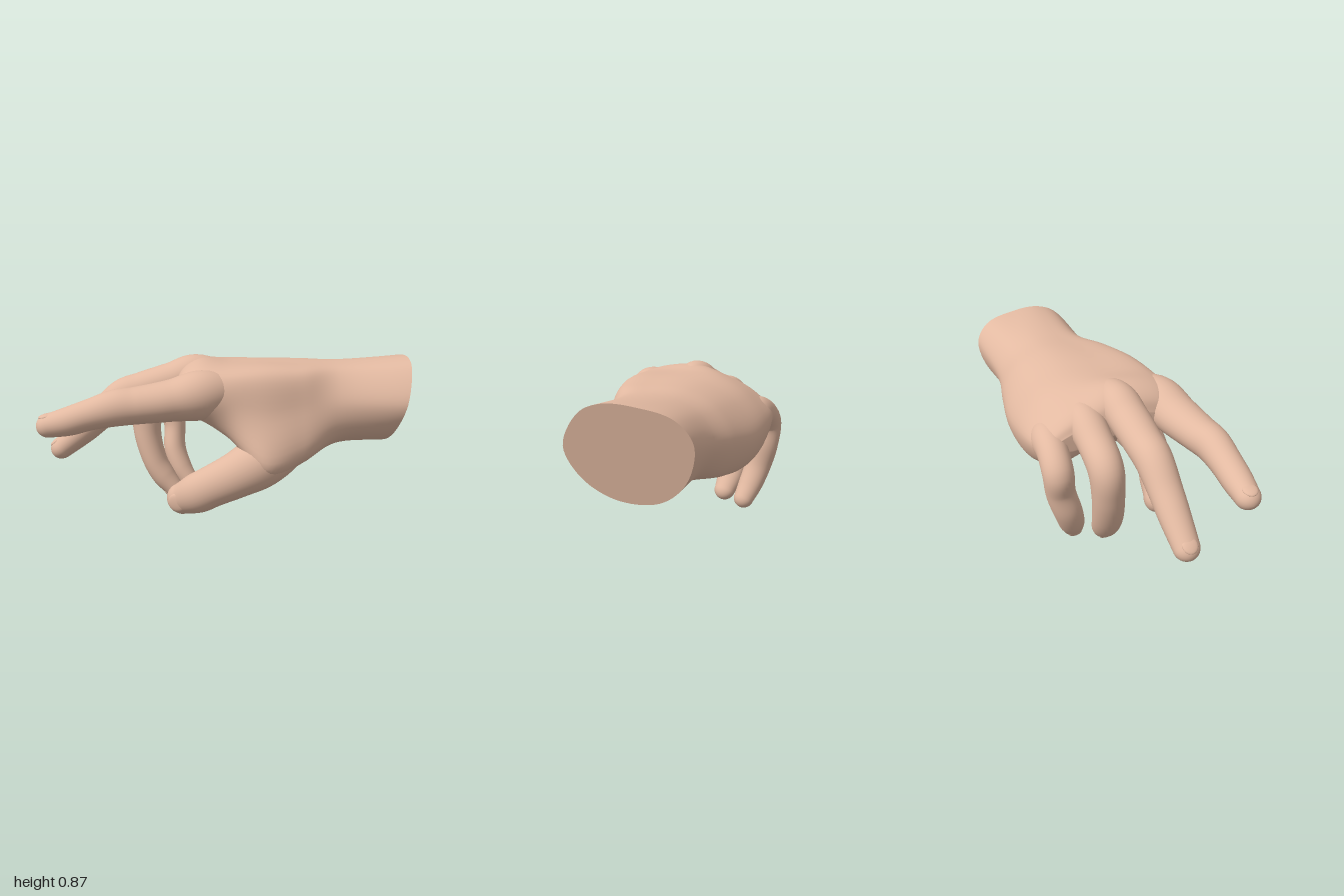
import * as THREE from 'three';

const V = (x, y, z) => new THREE.Vector3(x, y, z);

// Smooth skin over a list of rings, closed at the far end
function skin(rings) {
  const n = rings[0].length, pos = [], idx = [];
  rings.forEach((ring) => ring.forEach((p) => pos.push(p.x, p.y, p.z)));
  for (let i = 0; i < rings.length - 1; i++) {
    for (let j = 0; j < n; j++) {
      const a = i * n + j, b = i * n + ((j + 1) % n);
      idx.push(a, b, a + n, b, b + n, a + n);
    }
  }
  const last = (rings.length - 1) * n, c = centre(rings[rings.length - 1]);
  pos.push(c.x, c.y, c.z);
  for (let j = 0; j < n; j++) idx.push(last + n, last + j, last + ((j + 1) % n));
  return build(pos, idx);
}

// Flat face filling one ring, looking back along the loft
function face(ring) {
  const pos = [], idx = [], n = ring.length;
  [...ring, centre(ring)].forEach((p) => pos.push(p.x, p.y, p.z));
  for (let j = 0; j < n; j++) idx.push(n, (j + 1) % n, j);
  return build(pos, idx);
}

function build(pos, idx) {
  const g = new THREE.BufferGeometry();
  g.setAttribute('position', new THREE.Float32BufferAttribute(pos, 3));
  g.setIndex(idx);
  g.computeVertexNormals();
  return g;
}

function centre(ring) {
  return ring.reduce((s, p) => s.add(p), V(0, 0, 0)).divideScalar(ring.length);
}

// Palm cross-sections from wrist to knuckles: x, then (z, y) pairs going over
// the back of the hand and returning under the palm and the ball of the thumb
const WRIST = [.06, .785, -.06, .835, -.22, .83, -.39, .785, -.465, .68,
  -.41, .49, -.27, .375, -.06, .365, .1, .455, .17, .61];
const PALM = [
  [.6, [.08, .78, -.06, .812, -.22, .80, -.35, .73, -.425, .6,
    -.36, .45, -.19, .37, 0, .36, .16, .45, .185, .62]],
  [.4, [.19, .785, 0, .818, -.2, .81, -.36, .73, -.455, .57,
    -.38, .39, -.14, .36, .09, .285, .295, .355, .255, .6]],
  [.2, [.26, .795, .03, .828, -.2, .81, -.37, .72, -.48, .55,
    -.4, .37, -.12, .39, .21, .225, .42, .32, .335, .58]],
  [0, [.3, .79, .03, .833, -.2, .81, -.37, .72, -.475, .57,
    -.4, .39, -.14, .47, .12, .48, .31, .47, .355, .64]],
  [-.15, [.31, .785, .03, .85, -.17, .80, -.35, .71, -.455, .59,
    -.38, .44, -.12, .53, .1, .57, .28, .555, .385, .66]],
];

function palmRings() {
  const pairs = (list, xOf) => {
    const out = [];
    for (let i = 0; i < list.length; i += 2) out.push(V(xOf(list[i + 1], list[i]), list[i + 1], list[i]));
    return out;
  };
  // the wrist is cut on a slant
  const sections = [pairs(WRIST, (y, z) => .885 + .25 * (y - .37) + .07 * z)];
  PALM.forEach(([x, list]) => sections.push(pairs(list, () => x)));
  // webs between the fingers: the palm thins towards the front
  const front = sections[sections.length - 1], mid = centre(front);
  [[-.22, .88, .94], [-.262, .68, .86], [-.285, .35, .7]].forEach(([x, sy, sz]) => {
    sections.push(front.map((p) => V(x, mid.y + (p.y - mid.y) * sy, mid.z + (p.z - mid.z) * sz)));
  });
  const around = 72, along = 72;
  const loops = sections.map((s) => {
    const curve = new THREE.CatmullRomCurve3(s, true);
    return Array.from({ length: around }, (_, j) => curve.getPoint(j / around));
  });
  const lines = loops[0].map((_, j) => new THREE.CatmullRomCurve3(loops.map((l) => l[j])));
  return Array.from({ length: along + 1 }, (_, i) => lines.map((l) => l.getPoint(i / along)));
}

// Finger: joints are [x, y, z, half width, half thickness];
// side is the direction of the knuckle axis
function finger(name, joints, side, mat) {
  const path = new THREE.CatmullRomCurve3(joints.map((p) => V(p[0], p[1], p[2])));
  const sizes = new THREE.CatmullRomCurve3(joints.map((p) => V(p[3], p[4], 0)), false, 'catmullrom', .5);
  const steps = 56, around = 32, rings = [];
  const frame = (t) => {
    const T = path.getTangent(t);
    const S = side.clone().addScaledVector(T, -side.dot(T)).normalize();
    return { T, S, N: T.clone().cross(S) };
  };
  const ring = (c, { S, N }, w, h) => Array.from({ length: around }, (_, j) => {
    const a = (j / around) * Math.PI * 2;
    return c.clone().addScaledVector(S, w * Math.cos(a)).addScaledVector(N, h * Math.sin(a));
  });
  for (let i = 0; i <= steps; i++) {
    const t = i / steps, size = sizes.getPoint(t);
    rings.push(ring(path.getPoint(t), frame(t), size.x, size.y));
  }
  // rounded fingertip
  const end = frame(1), tip = path.getPoint(1), [w, h] = joints[joints.length - 1].slice(3);
  for (let k = 1; k <= 8; k++) {
    const a = (k / 8) * Math.PI * .48;
    const c = tip.clone().addScaledVector(end.T, w * Math.sin(a));
    rings.push(ring(c, end, w * Math.cos(a), h * Math.cos(a)));
  }
  const group = new THREE.Group();
  group.name = name;
  const flesh = new THREE.Mesh(skin(rings), mat);
  flesh.name = name + 'Flesh';
  // nail, a shallow dome sunk into the back of the tip
  const nail = new THREE.Mesh(new THREE.SphereGeometry(1, 20, 12), mat);
  nail.name = name + 'Nail';
  nail.scale.set(w * .6, h * .21, w * .65);
  nail.quaternion.setFromRotationMatrix(new THREE.Matrix4().makeBasis(end.S, end.N, end.T));
  nail.position.copy(tip).addScaledVector(end.N, h * .82);
  group.add(flesh, nail);
  return group;
}

export function createModel() {
  const hand = new THREE.Group();
  hand.name = 'hand';
  const mat = new THREE.MeshStandardMaterial({ color: 0xe2b9a1 });
  mat.name = 'skin';

  // palm and wrist
  const rings = palmRings();
  const palm = new THREE.Mesh(skin(rings), mat);
  palm.name = 'palm';
  const cut = new THREE.Mesh(face(rings[0]), mat);
  cut.name = 'wristEnd';
  hand.add(palm, cut);

  // fingers
  const z = V(0, 0, 1);
  hand.add(
    finger('indexFinger', [
      [.1, .70, .17, .05, .05], [-.12, .69, .275, .122, .127], [-.3, .665, .32, .12, .108],
      [-.47, .648, .36, .104, .096], [-.57, .64, .382, .094, .094], [-.7, .607, .392, .083, .08],
      [-.81, .573, .396, .078, .074], [-.91, .55, .394, .066, .062],
    ], z, mat),
    finger('middleFinger', [
      [.06, .73, .01, .05, .05], [-.17, .753, .02, .106, .11], [-.32, .718, .034, .107, .1],
      [-.48, .672, .045, .1, .095], [-.58, .635, .054, .096, .096], [-.71, .53, .064, .087, .08],
      [-.8, .452, .07, .081, .075], [-.928, .348, .078, .068, .061],
    ], z, mat),
    finger('ringFinger', [
      [.04, .67, -.16, .05, .05], [-.17, .685, -.165, .1, .106], [-.34, .635, -.158, .095, .092],
      [-.465, .55, -.15, .092, .096], [-.482, .4, -.142, .087, .08], [-.44, .22, -.127, .085, .07],
      [-.388, .125, -.117, .079, .067], [-.335, .06, -.106, .064, .055],
    ], z, mat),
    finger('littleFinger', [
      [.06, .58, -.33, .05, .05], [-.13, .592, -.35, .093, .1], [-.26, .575, -.36, .083, .085],
      [-.346, .5, -.362, .082, .08], [-.34, .37, -.35, .079, .065], [-.338, .24, -.314, .077, .065],
      [-.3, .13, -.283, .071, .063], [-.252, .053, -.26, .059, .054],
    ], z, mat),
    finger('thumb', [
      [.42, .47, .12, .08, .08], [.28, .385, .22, .13, .12], [.16, .325, .288, .14, .135],
      [.04, .265, .317, .123, .114], [-.08, .204, .31, .112, .102],
      [-.17, .152, .285, .108, .096], [-.25, .11, .248, .086, .074],
    ], V(.38, -.87, .08), mat),
  );
  return hand;
}
